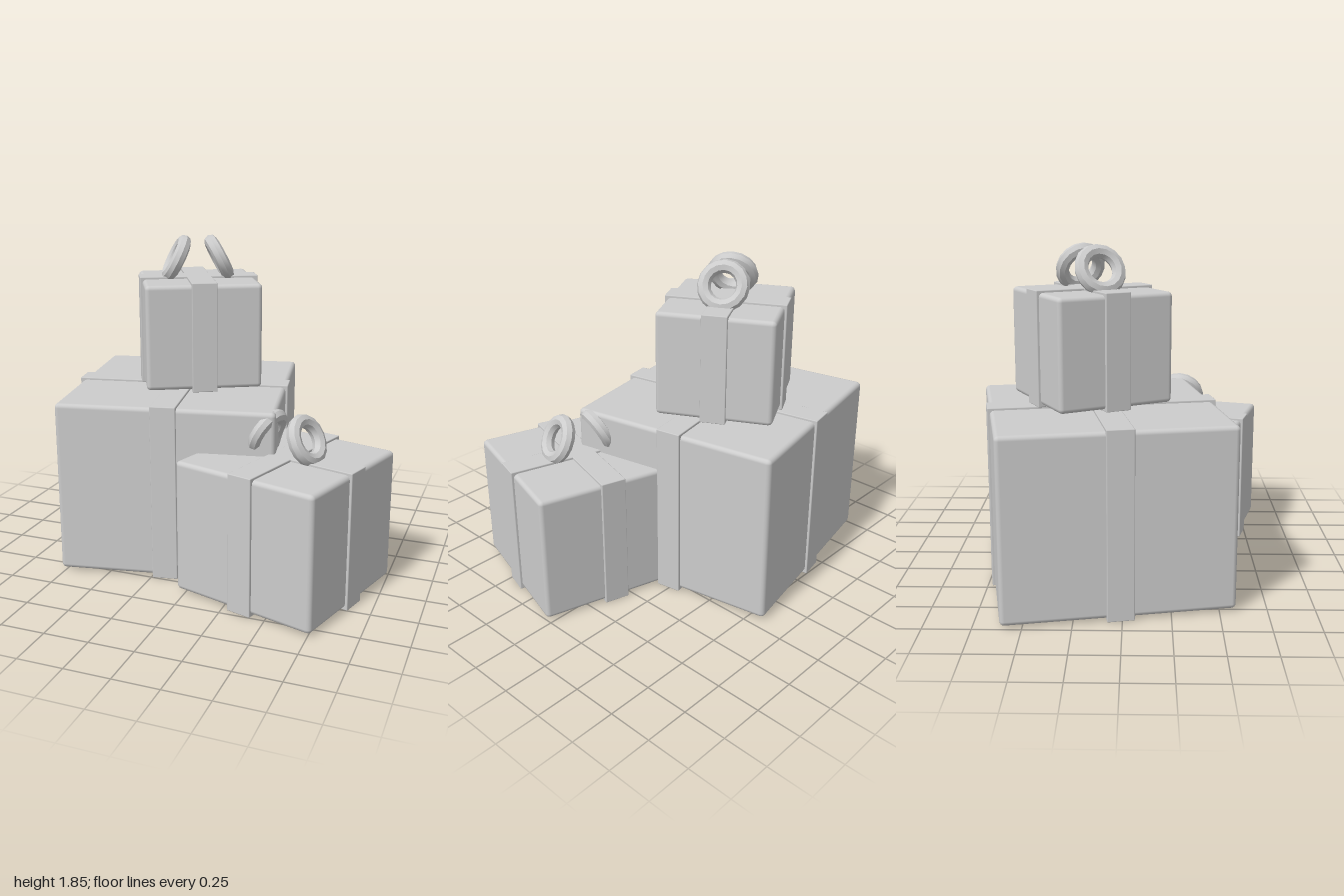
import * as THREE from 'three';
import { RoundedBoxGeometry } from 'three/addons/geometries/RoundedBoxGeometry.js';
import { toCreasedNormals } from 'three/addons/utils/BufferGeometryUtils.js';

const grey = new THREE.MeshStandardMaterial({ color: 0xcccccc });
grey.name = 'plain grey';

const RIBBON_WIDTH = 0.143;

function addMesh(parent, name, geometry) {
  const mesh = new THREE.Mesh(geometry, grey);
  mesh.name = name;
  parent.add(mesh);
  return mesh;
}

// Two loops standing on the lid, leaning in towards each other at the top
function addBow(parent, top) {
  const loop = new THREE.TorusGeometry(0.107, 0.038, 8, 16);
  loop.rotateY(Math.PI / 2);
  const geometry = toCreasedNormals(loop, THREE.MathUtils.degToRad(30));
  for (const side of [-1, 1]) {
    const mesh = addMesh(parent, side < 0 ? 'rightBowLoop' : 'leftBowLoop', geometry);
    mesh.position.set(side * 0.125, top + 0.097, 0);
    mesh.rotation.z = side * THREE.MathUtils.degToRad(27);
  }
}

// A wrapped box: rounded body, two crossing ribbons and an optional bow
function makeGift({ name, size, height, x, y, z, turn, hasBow }) {
  const gift = new THREE.Group();
  gift.name = name;
  gift.position.set(x, y, z);
  gift.rotation.y = THREE.MathUtils.degToRad(turn);

  const body = addMesh(gift, 'giftBox', new RoundedBoxGeometry(size, height - 0.026, size, 2, 0.025));
  body.position.y = height / 2;

  const reach = size + 0.028;
  const ribbon = new RoundedBoxGeometry(reach, height, RIBBON_WIDTH, 1, 0.005);
  for (const [label, angle] of [['sideRibbon', 0], ['frontRibbon', Math.PI / 2]]) {
    const mesh = addMesh(gift, label, ribbon);
    mesh.position.y = height / 2;
    mesh.rotation.y = angle;
  }

  if (hasBow) addBow(gift, height);
  return gift;
}

export function createModel() {
  const model = new THREE.Group();
  model.name = 'giftStack';
  const gifts = [
    { name: 'largeGift', size: 1.22, height: 1.005, x: -0.29, y: 0, z: -0.125, turn: 11, hasBow: false },
    { name: 'topGift', size: 0.655, height: 0.62, x: -0.226, y: 1.003, z: -0.185, turn: 28, hasBow: true },
    { name: 'sideGift', size: 0.853, height: 0.765, x: 0.475, y: 0, z: 0.31, turn: -16.5, hasBow: true },
  ];
  for (const gift of gifts) model.add(makeGift(gift));
  return model;
}
